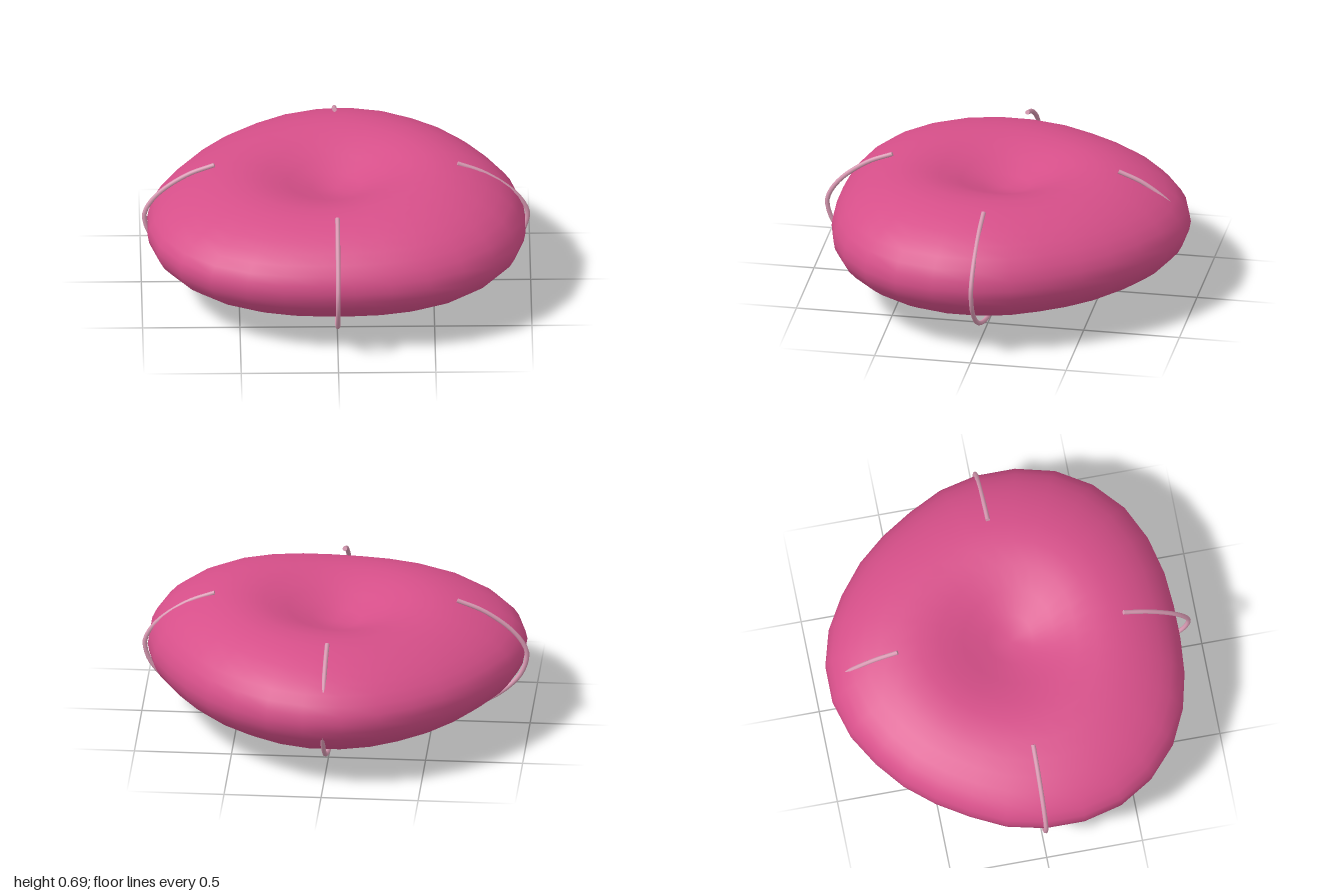
import * as THREE from 'three';

const bodyPink = new THREE.MeshStandardMaterial({ color: 0xd64f89 });
bodyPink.name = 'bodyPink';
const wirePink = new THREE.MeshStandardMaterial({ color: 0xd899b2 });
wirePink.name = 'wirePink';

// Half of the egg-shaped plan outline, from back to front, one radius every 12 degrees
const RADII = [0.955, 0.942, 0.921, 0.912, 0.907, 0.915, 0.945, 0.97,
  0.992, 1.006, 0.999, 0.976, 0.938, 0.901, 0.876];
const SEGMENTS = 30, ROWS = 24;
const MID_Y = 0.385, HALF_HEIGHT = 0.36;

// Squashed ellipsoid with a tilted upper half and a soft dimple in the top
function bodyGeometry() {
  const positions = [], index = [];
  const ringStart = (j) => 1 + (j - 1) * SEGMENTS;
  const addPoint = (phi, i) => {
    const angle = ((i + 0.5) / SEGMENTS) * Math.PI * 2;
    const radius = RADII[i < 15 ? i : 29 - i] * Math.sin(phi);
    const x = radius * Math.sin(angle), z = -radius * Math.cos(angle);
    let y = MID_Y + HALF_HEIGHT * Math.cos(phi);
    if (phi < Math.PI / 2) {
      y += 0.055 * x * Math.cos(phi);
      y -= 0.205 * Math.exp(-(radius * radius) / (2 * 0.25 * 0.25));
    }
    positions.push(x, y, z);
  };
  addPoint(0, 0);
  for (let j = 1; j < ROWS; j++) {
    for (let i = 0; i < SEGMENTS; i++) addPoint((j / ROWS) * Math.PI, i);
  }
  addPoint(Math.PI, 0);
  const last = positions.length / 3 - 1;
  for (let i = 0; i < SEGMENTS; i++) {
    const n = (i + 1) % SEGMENTS;
    index.push(0, ringStart(1) + n, ringStart(1) + i);
    for (let j = 1; j < ROWS - 1; j++) {
      const a = ringStart(j), b = ringStart(j + 1);
      index.push(a + i, a + n, b + i, a + n, b + n, b + i);
    }
    index.push(ringStart(ROWS - 1) + i, ringStart(ROWS - 1) + n, last);
  }
  const geometry = new THREE.BufferGeometry();
  geometry.setAttribute('position', new THREE.Float32BufferAttribute(positions, 3));
  geometry.setIndex(index);
  geometry.computeVertexNormals();
  return geometry;
}

// Curved wire hugging one side, drawn along +x then turned into place
function createClasp(name, reach, turn) {
  const profile = [[0.625, 0.682], [0.76, 0.628], [0.9, 0.53], [0.965, 0.45], [0.985, 0.39],
    [0.955, 0.285], [0.87, 0.19], [0.76, 0.12], [0.6, 0.062], [0.36, 0.015]];
  const curve = new THREE.CatmullRomCurve3(
    profile.map(([x, y]) => new THREE.Vector3(x * reach, y, 0)));
  const clasp = new THREE.Group();
  clasp.name = name;
  const wire = new THREE.Mesh(new THREE.TubeGeometry(curve, 40, 0.012, 8), wirePink);
  wire.name = 'wire';
  clasp.add(wire);
  // Flat caps on the two ends
  for (const t of [0, 1]) {
    const cap = new THREE.Mesh(new THREE.CircleGeometry(0.012, 8), wirePink);
    cap.name = 'wireEnd';
    const end = curve.getPointAt(t);
    cap.position.copy(end);
    cap.lookAt(end.clone().addScaledVector(curve.getTangentAt(t), t ? 1 : -1));
    clasp.add(cap);
  }
  clasp.rotation.y = turn;
  return clasp;
}

export function createModel() {
  const model = new THREE.Group();
  model.name = 'dimpledCushion';
  const body = new THREE.Mesh(bodyGeometry(), bodyPink);
  body.name = 'body';
  model.add(body);
  model.add(
    createClasp('leftClasp', 1, 0),
    createClasp('backClasp', 0.945, Math.PI / 2),
    createClasp('rightClasp', 1, Math.PI),
    createClasp('frontClasp', 0.945, -Math.PI / 2),
  );
  return model;
}
